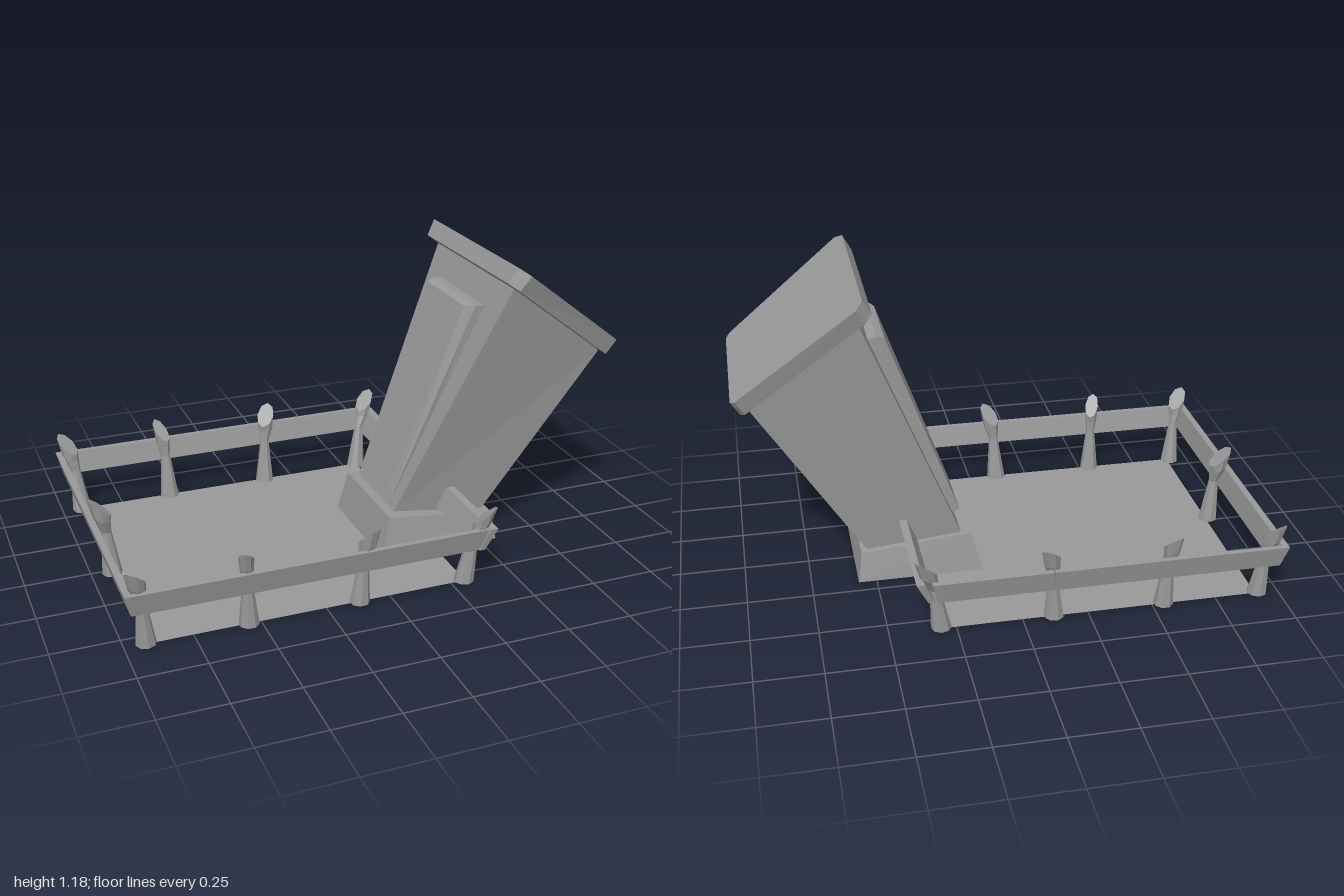
import * as THREE from 'three';

const mat = new THREE.MeshStandardMaterial({ color: 0x999999, flatShading: true, side: THREE.DoubleSide });

function add(parent, geometry, name) {
  const m = new THREE.Mesh(geometry, mat);
  m.name = name;
  parent.add(m);
  return m;
}

// Skin a stack of equal-length rings (counter-clockwise seen from the far end)
function loft(rings, capStart = true, capEnd = true) {
  const p = [];
  const n = rings[0].length;
  const tri = (a, b, c) => p.push(...a, ...b, ...c);
  for (let r = 0; r < rings.length - 1; r++) {
    for (let i = 0; i < n; i++) {
      const j = (i + 1) % n, a = rings[r], b = rings[r + 1];
      tri(a[i], a[j], b[j]);
      tri(a[i], b[j], b[i]);
    }
  }
  const first = rings[0], last = rings[rings.length - 1];
  for (let i = 1; i < n - 1; i++) {
    if (capStart) tri(first[0], first[i + 1], first[i]);
    if (capEnd) tri(last[0], last[i], last[i + 1]);
  }
  const g = new THREE.BufferGeometry();
  g.setAttribute('position', new THREE.Float32BufferAttribute(p, 3));
  g.computeVertexNormals();
  return g;
}

// Four-cornered ring: a low-x edge and a high-x edge, each [x, y, zMin, zMax]
const quad = (l, h) => [
  [l[0], l[1], l[3]], [h[0], h[1], h[3]], [h[0], h[1], h[2]], [l[0], l[1], l[2]],
];

// Rail with separate footprints [x0, x1, z0, z1] for its bottom and top edges
function rail(parent, name, bottom, top) {
  const ring = (b, y) => quad([b[0], y, b[2], b[3]], [b[1], y, b[2], b[3]]);
  add(parent, loft([ring(bottom, 0.15), ring(top, 0.237)]), name);
}

// Waisted eight-sided post leaning outwards, its head cut on a slant facing inwards
function post(parent, x, z, dx, dz, headWidth = 0.035) {
  const lean = Math.hypot(dx, dz);
  // [height, outward shift, radial radius, side radius, slant]
  const levels = [
    [0, 0, 0.039, 0.038, 0],
    [0.18, 0.4, 0.02, 0.018, 0],
    [0.235, 0.8, 0.034, headWidth * 0.9, 0.012],
    [0.285, 1, 0.045, headWidth, 0.038],
  ];
  const rings = levels.map(([y, s, rr, rs, slant]) => {
    const ring = [];
    for (let i = 0; i < 8; i++) {
      const a = (i / 8) * Math.PI * 2;
      ring.push([lean * s + rr * Math.cos(a), y + slant * Math.cos(a), -rs * Math.sin(a)]);
    }
    return ring;
  });
  const m = add(parent, loft(rings), 'fencePost');
  m.position.set(x, 0, z);
  m.rotation.y = Math.atan2(-dz, dx);
}

export function createModel() {
  const group = new THREE.Group();

  // Ground sheet
  const ground = new THREE.PlaneGeometry(1.22, 1.115).rotateX(-Math.PI / 2);
  add(group, ground, 'groundSheet').position.set(-0.3, 0, -0.002);

  // Fence
  const fence = new THREE.Group();
  fence.name = 'fence';
  group.add(fence);
  for (const s of [1, -1]) {
    post(fence, -0.92, s * 0.55, -0.035, s * 0.04);
    post(fence, -0.545, s * 0.555, -0.015, s * 0.036, 0.028);
    post(fence, -0.12, s * 0.555, 0.022, s * 0.036);
    post(fence, 0.305, s * 0.55, 0.058, s * 0.045);
  }
  post(fence, -0.92, 0.02, -0.035, 0, 0.043);
  rail(fence, 'frontRail', [-0.975, 0.34, 0.585, 0.605], [-1.0, 0.365, 0.603, 0.625]);
  rail(fence, 'backRailLeft', [-0.1, 0.325, -0.615, -0.595], [-0.1, 0.345, -0.635, -0.613]);
  rail(fence, 'backRailRight', [-0.975, -0.105, -0.615, -0.595], [-1.0, -0.105, -0.635, -0.613]);
  rail(fence, 'sideRailRight', [-0.978, -0.955, -0.6, 0.6], [-1.0, -0.975, -0.62, 0.615]);
  rail(fence, 'sideRailLeftFront', [0.335, 0.358, 0.2, 0.612], [0.372, 0.402, 0.22, 0.628]);
  rail(fence, 'sideRailLeftBack', [0.335, 0.358, -0.61, -0.12], [0.372, 0.402, -0.625, -0.14]);

  // Lectern: hollow plinth and leaning, widening column
  const lectern = new THREE.Group();
  lectern.name = 'lectern';
  group.add(lectern);
  const plinthTop = quad([0.12, 0.16, -0.17, 0.268], [0.553, 0.115, -0.172, 0.276]);
  const columnFoot = quad([0.16, 0.156, -0.15, 0.215], [0.53, 0.118, -0.145, 0.24]);
  add(lectern, loft([
    quad([0.083, 0, -0.193, 0.292], [0.57, 0, -0.193, 0.297]), plinthTop, columnFoot,
  ], false, false), 'plinth');
  add(lectern, loft([
    columnFoot, quad([0.53, 1.085, -0.23, 0.42], [0.935, 0.78, -0.2, 0.37]),
  ], false, true), 'column');

  // Raised panel on the rear of the column; edges given as [x, y, zMin, zMax]
  const panelRing = (b, t) => [
    [b[0], b[1], b[2]], [b[0], b[1], b[3]], [t[0], t[1], t[3]], [t[0], t[1], t[2]],
  ];
  add(lectern, loft([
    panelRing([0.21, 0.215, -0.088, 0.172], [0.5, 0.98, -0.105, 0.275]),
    panelRing([0.175, 0.212, -0.088, 0.172], [0.455, 0.986, -0.105, 0.27]),
    panelRing([0.153, 0.22, -0.08, 0.162], [0.425, 0.975, -0.095, 0.23]),
  ]), 'rearPanel');

  // Sloping top board with clipped corners; u runs down the slope
  const board = [
    [0, 0.485], [0.035, 0.525], [0.585, 0.418], [0.605, 0.39],
    [0.605, -0.21], [0.585, -0.238], [0.035, -0.28], [0, -0.24],
  ];
  // Its underside is slightly narrower than its top
  const boardRing = (x, y, width) => board.map(([u, z]) => [x + u * 0.8, y - u * 0.6, 0.11 + (z - 0.11) * width]);
  add(lectern, loft([boardRing(0.48, 1.125, 0.955), boardRing(0.514, 1.183, 1)]), 'topBoard');

  return group;
}
